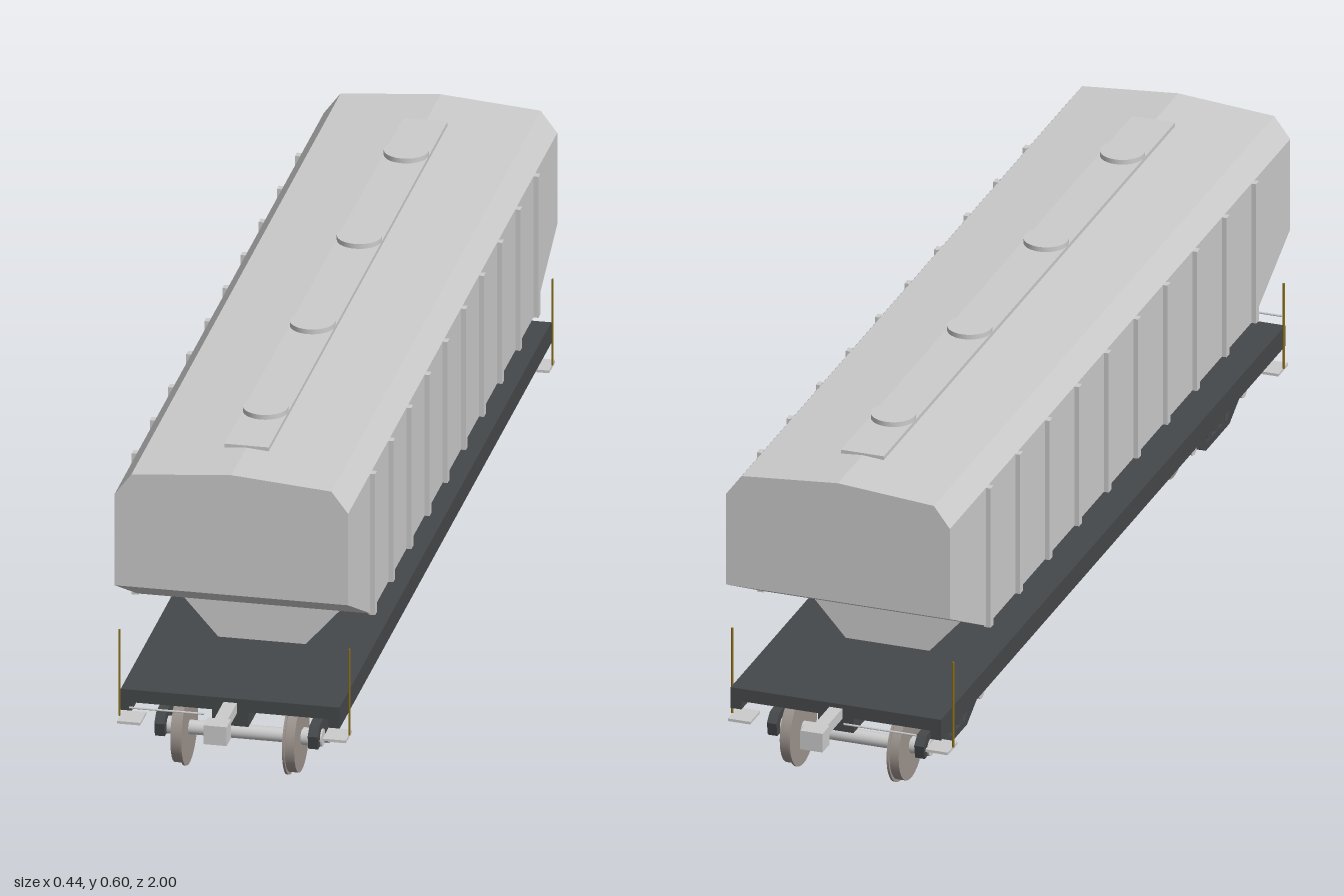
import * as THREE from 'three';
import { ConvexGeometry } from 'three/addons/geometries/ConvexGeometry.js';

const mat = (color) => new THREE.MeshStandardMaterial({ color });
const grey = mat(0xcccccc);
const dark = mat(0x45484a);
const steel = mat(0x9c938d);
const brass = mat(0x8a6d1a);

function add(parent, name, geometry, material, x = 0, y = 0, z = 0) {
  const mesh = new THREE.Mesh(geometry, material);
  mesh.name = name;
  mesh.position.set(x, y, z);
  parent.add(mesh);
  return mesh;
}

// Box given by its limits on each axis
function box(parent, name, material, x0, x1, y0, y1, z0, z1) {
  return add(parent, name, new THREE.BoxGeometry(x1 - x0, y1 - y0, z1 - z0), material,
    (x0 + x1) / 2, (y0 + y1) / 2, (z0 + z1) / 2);
}

function cylinder(parent, name, material, radius, length, axis, x, y, z, sides = 24) {
  const g = new THREE.CylinderGeometry(radius, radius, length, sides);
  if (axis === 'x') g.rotateZ(Math.PI / 2);
  if (axis === 'z') g.rotateX(Math.PI / 2);
  return add(parent, name, g, material, x, y, z);
}

// Convex solid from corners mirrored in x and z
function mirroredSolid(corners) {
  const points = [];
  for (const [x, y, z] of corners)
    for (const sx of x ? [-1, 1] : [1])
      for (const sz of [-1, 1]) points.push(new THREE.Vector3(sx * x, y, sz * z));
  return new ConvexGeometry(points);
}

function createHull() {
  const hull = new THREE.Group();
  hull.name = 'hopperBody';
  add(hull, 'bodyShell', mirroredSolid([
    [0, 0.59, 0.865], [0.18, 0.575, 0.865], [0.21, 0.535, 0.865],
    [0.21, 0.36, 0.865], [0.21, 0.265, 0.677],
  ]), grey);
  // Side ribs
  for (let i = 0; i < 10; i++) {
    const z = -0.675 + i * 0.15;
    for (const s of [-1, 1])
      add(hull, 'sideRib', new THREE.BoxGeometry(0.012, 0.27, 0.015), grey, s * 0.213, 0.4, z);
  }
  // Discharge chutes
  const chute = mirroredSolid([[0.167, 0.267, 0.162], [0.075, 0.163, 0.162]]);
  for (const z of [-0.45, 0, 0.45]) add(hull, 'chute', chute, grey, 0, 0, z);
  // Roof walkway and loading hatches
  box(hull, 'roofWalkway', grey, -0.04, 0.04, 0.583, 0.594, -0.74, 0.74);
  for (const z of [-0.582, -0.194, 0.194, 0.582])
    cylinder(hull, 'loadingHatch', grey, 0.04, 0.02, 'y', 0, 0.593, z, 32);
  return hull;
}

function createUnderframe() {
  const frame = new THREE.Group();
  frame.name = 'underframe';
  box(frame, 'deck', dark, -0.197, 0.197, 0.143, 0.167, -0.875, 0.875);
  box(frame, 'centreSill', dark, -0.033, 0.033, 0.115, 0.145, -0.875, 0.875);
  for (const s of [-1, 1]) {
    const side = add(frame, 'sideSill', new THREE.BoxGeometry(0.02, 0.02, 1.75), dark, s * 0.187, 0.138, 0);
    side.scale.y = 1.1;
    box(frame, 'bodyBolster', dark, -0.055, 0.055, 0.117, 0.145, s * 0.667 - 0.05, s * 0.667 + 0.05);
    // Couplers
    add(frame, 'couplerShank', new THREE.BoxGeometry(0.024, 0.02, 0.1), grey, 0, 0.149, s * 0.915);
    add(frame, 'couplerHead', new THREE.BoxGeometry(0.042, 0.036, 0.036), grey, 0, 0.148, s * 0.982);
    // Release rod
    cylinder(frame, 'releaseRod', grey, 0.002, 0.135, 'x', -0.1025, 0.157, s * 0.93, 8);
    // Corner steps and posts
    for (const t of [-1, 1]) {
      add(frame, 'cornerStep', new THREE.BoxGeometry(0.042, 0.005, 0.05), grey, t * 0.185, 0.098, s * 0.84);
      cylinder(frame, 'cornerPost', brass, 0.002, 0.165, 'y', t * 0.207, 0.183, s * 0.84, 8);
    }
  }
  // Brake equipment
  cylinder(frame, 'airTank', grey, 0.024, 0.145, 'z', 0.08, 0.108, -0.075);
  cylinder(frame, 'brakeCylinder', grey, 0.022, 0.068, 'z', -0.068, 0.109, 0.166);
  box(frame, 'brakeValve', grey, -0.09, -0.046, 0.115, 0.143, 0.14, 0.19);
  return frame;
}

// Cast side frame with a spring window, drawn along z
function sideFrameGeometry() {
  const outline = [[-0.16, 0.085], [-0.145, 0.1], [-0.08, 0.105], [0.08, 0.105], [0.145, 0.1], [0.16, 0.085],
    [0.155, 0.06], [0.11, 0.06], [0.06, 0.033], [-0.06, 0.033], [-0.11, 0.06], [-0.155, 0.06]];
  const opening = [[-0.08, 0.088], [-0.052, 0.047], [0.052, 0.047], [0.08, 0.088]];
  const toPoints = (list) => list.map(([a, b]) => new THREE.Vector2(a, b));
  const shape = new THREE.Shape(toPoints(outline));
  shape.holes.push(new THREE.Path(toPoints(opening)));
  const g = new THREE.ExtrudeGeometry(shape, { depth: 0.018, bevelEnabled: false });
  return g.translate(0, 0, -0.009).rotateY(Math.PI / 2);
}

function createBogie() {
  const bogie = new THREE.Group();
  bogie.name = 'bogie';
  box(bogie, 'bogieBolster', dark, -0.137, 0.137, 0.08, 0.112, -0.035, 0.035);
  cylinder(bogie, 'pivot', dark, 0.025, 0.02, 'y', 0, 0.115, 0);
  const frameGeometry = sideFrameGeometry();
  for (const s of [-1, 1]) {
    add(bogie, 'sideFrame', frameGeometry, dark, s * 0.138, 0, 0);
    for (const z of [-0.032, 0, 0.032])
      cylinder(bogie, 'spring', dark, 0.01, 0.046, 'y', s * 0.138, 0.068, z, 12);
  }
  // Wheelsets
  for (const z of [-0.127, 0.127]) {
    cylinder(bogie, 'axle', grey, 0.013, 0.28, 'x', 0, 0.07, z);
    for (const s of [-1, 1]) {
      cylinder(bogie, 'wheel', steel, 0.064, 0.017, 'x', s * 0.103, 0.07, z, 40);
      cylinder(bogie, 'wheelFlange', steel, 0.069, 0.004, 'x', s * 0.0925, 0.07, z, 40);
      cylinder(bogie, 'axleBox', grey, 0.016, 0.036, 'x', s * 0.132, 0.071, z);
    }
  }
  return bogie;
}

export function createModel() {
  const model = new THREE.Group();
  model.name = 'hopperWagon';
  model.add(createHull(), createUnderframe());
  for (const z of [-0.667, 0.667]) {
    const bogie = createBogie();
    bogie.position.z = z;
    model.add(bogie);
  }
  return model;
}
